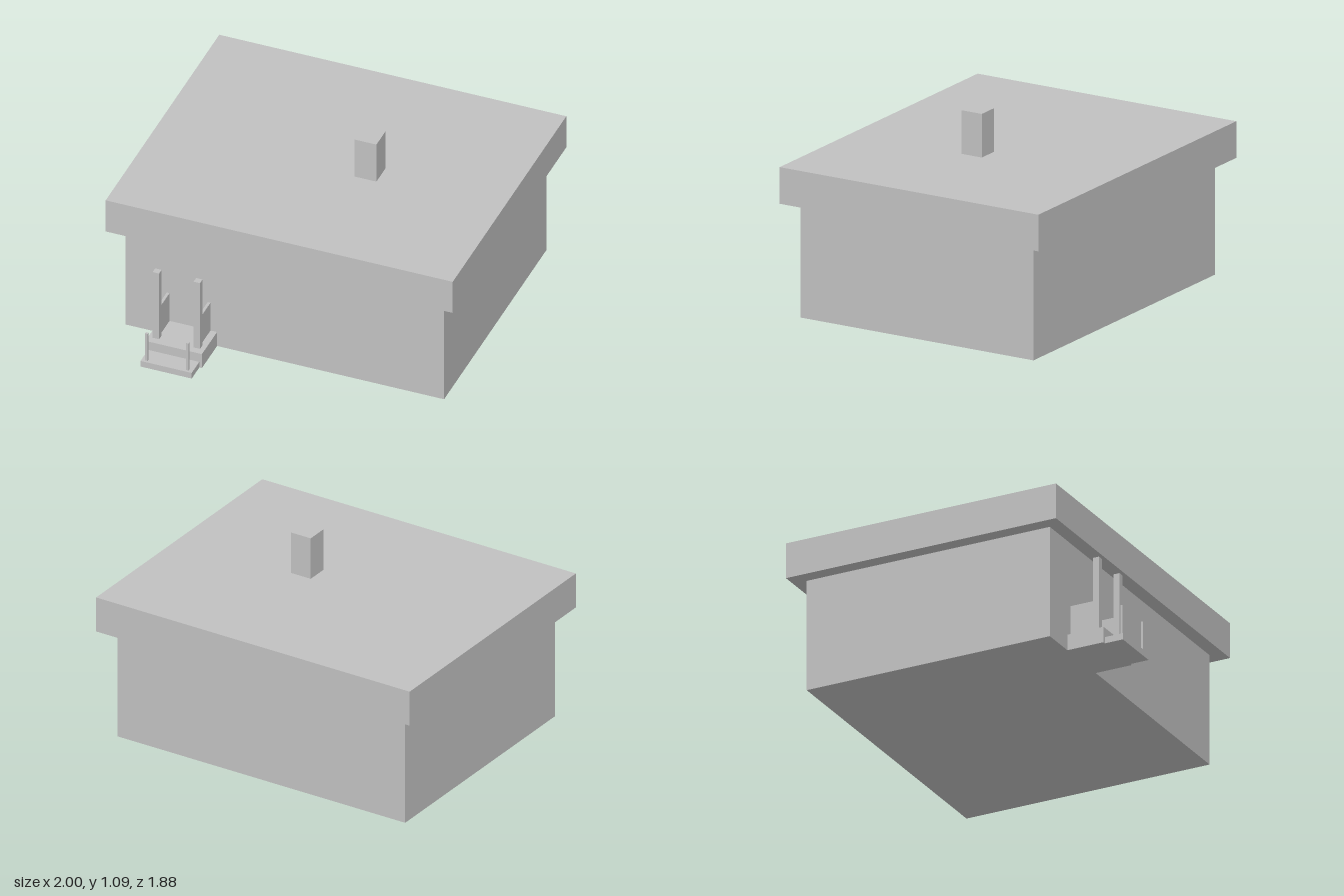
import * as THREE from 'three';

export function createModel() {
  const model = new THREE.Group();
  model.name = 'house';
  const plaster = new THREE.MeshStandardMaterial({ color: 0xc0c0c0 });
  plaster.name = 'light grey';

  // Box given by its [min, max] span on each axis
  function block(name, [x0, x1], [y0, y1], [z0, z1], parent = model) {
    const mesh = new THREE.Mesh(new THREE.BoxGeometry(x1 - x0, y1 - y0, z1 - z0), plaster);
    mesh.position.set((x0 + x1) / 2, (y0 + y1) / 2, (z0 + z1) / 2);
    mesh.name = name;
    parent.add(mesh);
  }
  const around = (centre, width) => [centre - width / 2, centre + width / 2];

  // House body
  block('walls', [-0.918, 0.918], [0, 0.645], [-0.857, 0.612]);
  block('roof', [-1, 1], [0.645, 0.85], [-0.939, 0.692]);
  block('chimney', [0.155, 0.28], [0.85, 1.094], [-0.133, -0.006]);

  // Entrance porch
  const porch = new THREE.Group();
  porch.name = 'porch';
  model.add(porch);
  block('landing', [-0.716, -0.39], [0, 0.092], [0.612, 0.83], porch);
  block('step', [-0.7, -0.405], [0, 0.037], [0.83, 0.939], porch);

  // Post, side panel and step post on each side of the door
  for (const [side, x] of [['right', -0.672], ['left', -0.436]]) {
    block(side + 'Post', around(x, 0.037), [0.092, 0.525], [0.752, 0.789], porch);
    block(side + 'SidePanel', around(x, 0.016), [0.092, 0.275], [0.612, 0.752], porch);
    block(side + 'StepPost', around(x, 0.015), [0.037, 0.215], around(0.919, 0.012), porch);
  }
  return model;
}
